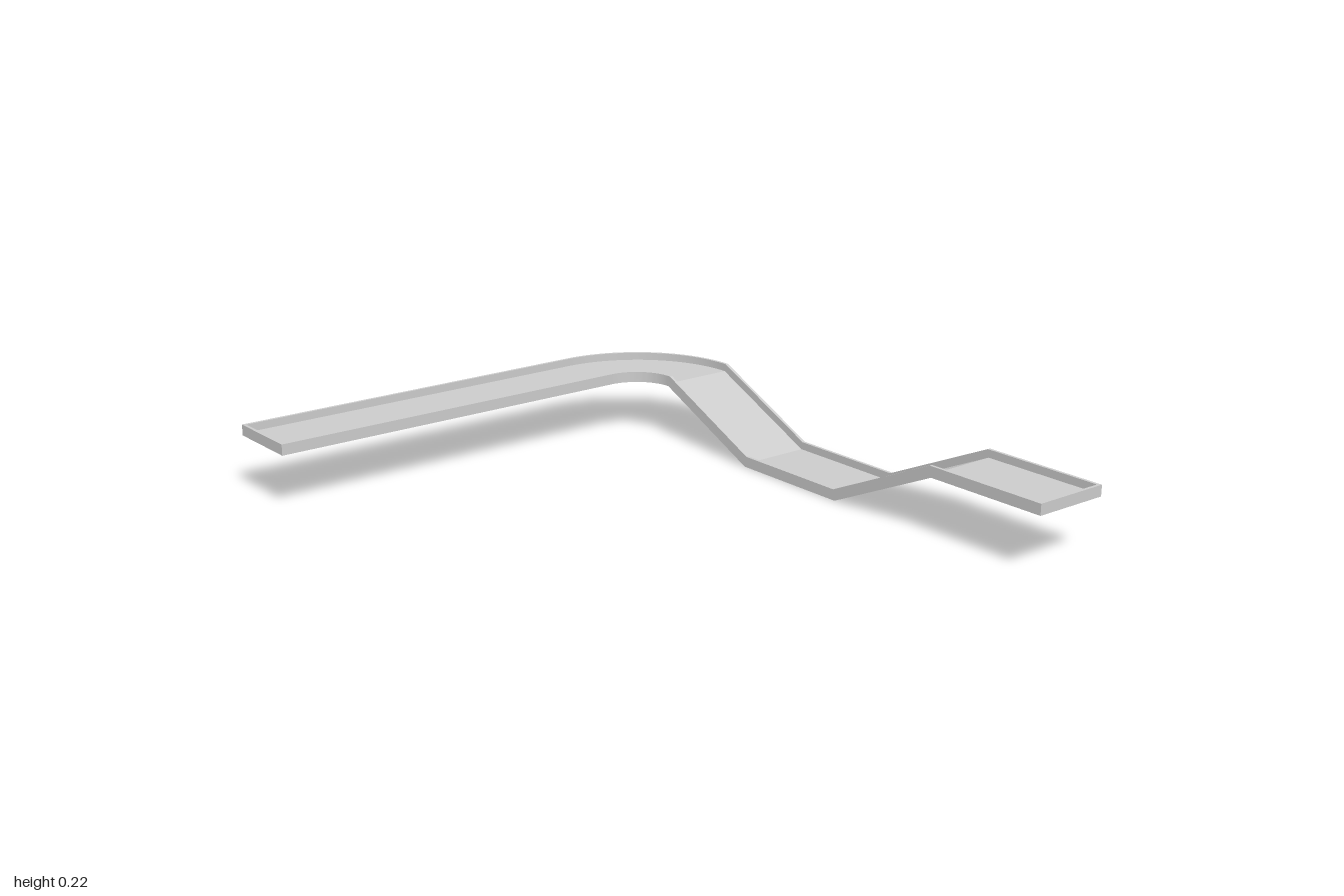
import * as THREE from 'three';
import { toCreasedNormals } from 'three/addons/utils/BufferGeometryUtils.js';

const W = 0.1275;  // half width of the channel
const H = 0.035;   // wall height
const T = 0.01;    // wall and floor thickness
const TOP = 0.18;  // underside of the raised stretches
const BEND = { x: -0.61, z: -0.42, r: 0.2625 };

// Trough cross-section as [outward, up], counter-clockwise
const section = [
  [-W, 0], [W, 0], [W, H], [W - T, H],
  [W - T, T], [-W + T, T], [-W + T, H], [-W, H],
];

// Stations along the centre line: position, outward direction, mitred up direction
function makeStations() {
  const list = [];
  const add = (x, y, z, ox, oz, lean = 0) => list.push({
    p: new THREE.Vector3(x, y, z),
    out: new THREE.Vector3(ox, 0, oz),
    up: new THREE.Vector3(lean, 1, 0),
  });
  const z = BEND.z - BEND.r;
  add(BEND.x - BEND.r, TOP, 0.81 - T, -1, 0);
  // quarter-circle corner
  const n = 24;
  for (let i = 0; i < n; i++) {
    const a = (i / n) * Math.PI / 2;
    const c = Math.cos(a), s = Math.sin(a);
    add(BEND.x - BEND.r * c, TOP, BEND.z - BEND.r * s, -c, -s);
  }
  // dip: down, level, up again
  add(-0.61, TOP, z, 0, -1, 0.22);
  add(-0.217, 0, z, 0, -1, 0.22);
  add(0.2, 0, z, 0, -1, -0.22);
  add(0.593, TOP, z, 0, -1, -0.22);
  add(1 - T, TOP, z, 0, -1);
  return list;
}

// Sweep the section through the stations
function sweep(stations) {
  const pos = [], index = [], n = section.length;
  for (const { p, out, up } of stations) {
    for (const [o, u] of section) {
      const v = p.clone().addScaledVector(out, o).addScaledVector(up, u);
      pos.push(v.x, v.y, v.z);
    }
  }
  for (let i = 0; i < stations.length - 1; i++) {
    for (let j = 0; j < n; j++) {
      const a = i * n + j, b = i * n + (j + 1) % n;
      index.push(a, b, b + n, a, b + n, a + n);
    }
  }
  const geo = new THREE.BufferGeometry();
  geo.setAttribute('position', new THREE.Float32BufferAttribute(pos, 3));
  geo.setIndex(index);
  return toCreasedNormals(geo, 0.2);
}

export function createModel() {
  const group = new THREE.Group();
  group.name = 'channelTrack';
  const material = new THREE.MeshStandardMaterial({ color: 0xcccccc });
  const add = (name, geo, x = 0, y = 0, z = 0) => {
    const mesh = new THREE.Mesh(geo, material);
    mesh.name = name;
    mesh.position.set(x, y, z);
    group.add(mesh);
  };

  add('trough', sweep(makeStations()));

  // walls closing both ends
  add('frontEndWall', new THREE.BoxGeometry(2 * W, H, T),
    BEND.x - BEND.r, TOP + H / 2, 0.81 - T / 2);
  add('leftEndWall', new THREE.BoxGeometry(T, H, 2 * W),
    1 - T / 2, TOP + H / 2, BEND.z - BEND.r);

  return group;
}
